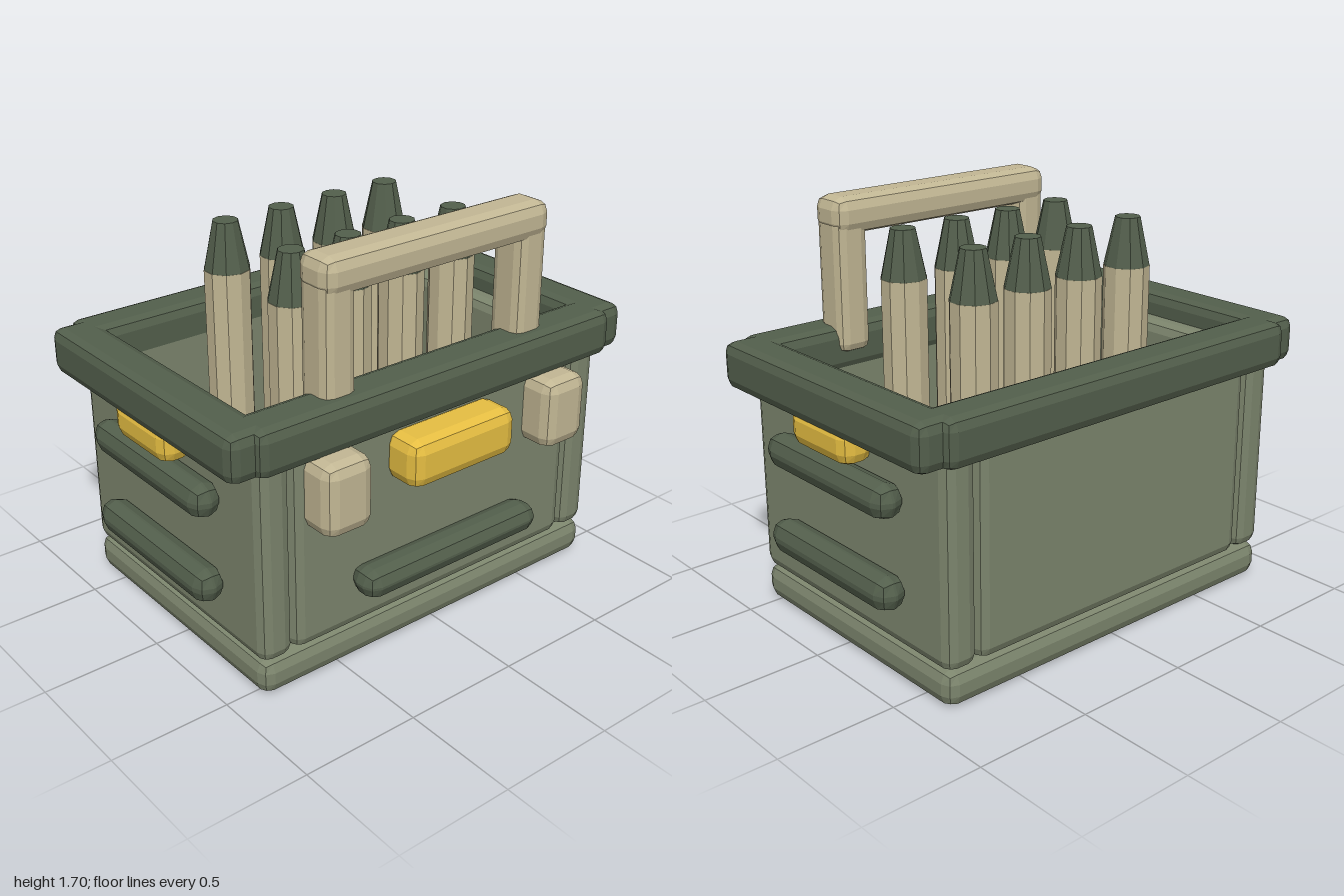
import * as THREE from 'three';
import { RoundedBoxGeometry } from 'three/addons/geometries/RoundedBoxGeometry.js';

const material = (color) => new THREE.MeshStandardMaterial({ color, flatShading: true });

export function createModel() {
  const model = new THREE.Group();
  const green = material(0x7c856d);
  const darkGreen = material(0x535f4c);
  const beige = material(0xc2b794);
  const yellow = material(0xe6be42);

  // Bevelled block given by its [min, max] extents on each axis
  function block(name, mat, x, y, z, bevel = 0.045, parent = model) {
    const size = [x, y, z].map(([a, b]) => b - a);
    const radius = Math.min(bevel, Math.min(...size) * 0.48);
    const mesh = new THREE.Mesh(new RoundedBoxGeometry(...size, 1, radius), mat);
    mesh.position.set((x[0] + x[1]) / 2, (y[0] + y[1]) / 2, (z[0] + z[1]) / 2);
    mesh.name = name;
    parent.add(mesh);
    return mesh;
  }
  // Same block on the left (+x) and right (-x)
  function pair(name, mat, x, y, z, bevel, parent) {
    block(name + 'Left', mat, x, y, z, bevel, parent);
    block(name + 'Right', mat, [-x[1], -x[0]], y, z, bevel, parent);
  }

  // Crate body
  block('base', green, [-0.87, 0.87], [0, 0.15], [-0.67, 0.57], 0.05);
  pair('sideWall', green, [0.725, 0.87], [0.15, 1.06], [-0.67, 0.57]);
  block('frontWall', green, [-0.72, 0.72], [0.15, 1.06], [0.43, 0.57]);
  block('backWall', green, [-0.72, 0.72], [0.15, 1.06], [-0.67, -0.53]);

  // Rim bars
  const rimY = [0.965, 1.16];
  pair('sideRim', darkGreen, [0.81, 1.0], rimY, [-0.69, 0.59]);
  block('frontRim', darkGreen, [-0.9, 0.9], rimY, [0.42, 0.62]);
  block('backRim', darkGreen, [-0.9, 0.9], rimY, [-0.725, -0.53]);

  // Raised ribs
  block('frontRib', darkGreen, [-0.455, 0.45], [0.315, 0.435], [0.55, 0.7], 0.055);
  for (const y of [0.33, 0.7]) {
    pair('sideRib', darkGreen, [0.86, 0.99], [y, y + 0.14], [-0.44, 0.34], 0.06);
  }

  // Latch, clasps and side grips
  block('frontLatch', yellow, [-0.27, 0.26], [0.75, 0.95], [0.53, 0.725], 0.05);
  pair('sideGrip', yellow, [0.85, 0.992], [0.855, 1.015], [-0.235, 0.135], 0.05);
  pair('frontClasp', beige, [0.45, 0.67], [0.68, 0.98], [0.5, 0.715], 0.05);

  // Carry handle
  const handle = new THREE.Group();
  handle.name = 'handle';
  pair('handlePost', beige, [0.405, 0.555], [1.05, 1.62], [0.39, 0.555], 0.04, handle);
  block('handleBar', beige, [-0.557, 0.557], [1.54, 1.695], [0.38, 0.565], 0.05, handle);
  model.add(handle);

  // Two rows of tipped rounds standing in the crate
  const shell = new THREE.CylinderGeometry(0.096, 0.096, 1.27, 10);
  const tip = new THREE.CylinderGeometry(0.052, 0.096, 0.205, 10);
  for (const z of [0.165, -0.265]) {
    for (let i = 0; i < 4; i++) {
      const round = new THREE.Group();
      round.name = 'round';
      const body = new THREE.Mesh(shell, beige);
      body.name = 'roundBody';
      body.position.y = 0.765;
      const head = new THREE.Mesh(tip, darkGreen);
      head.name = 'roundTip';
      head.position.y = 1.4975;
      round.add(body, head);
      round.position.set(-0.412 + i * 0.272, 0, z);
      model.add(round);
    }
  }
  return model;
}
